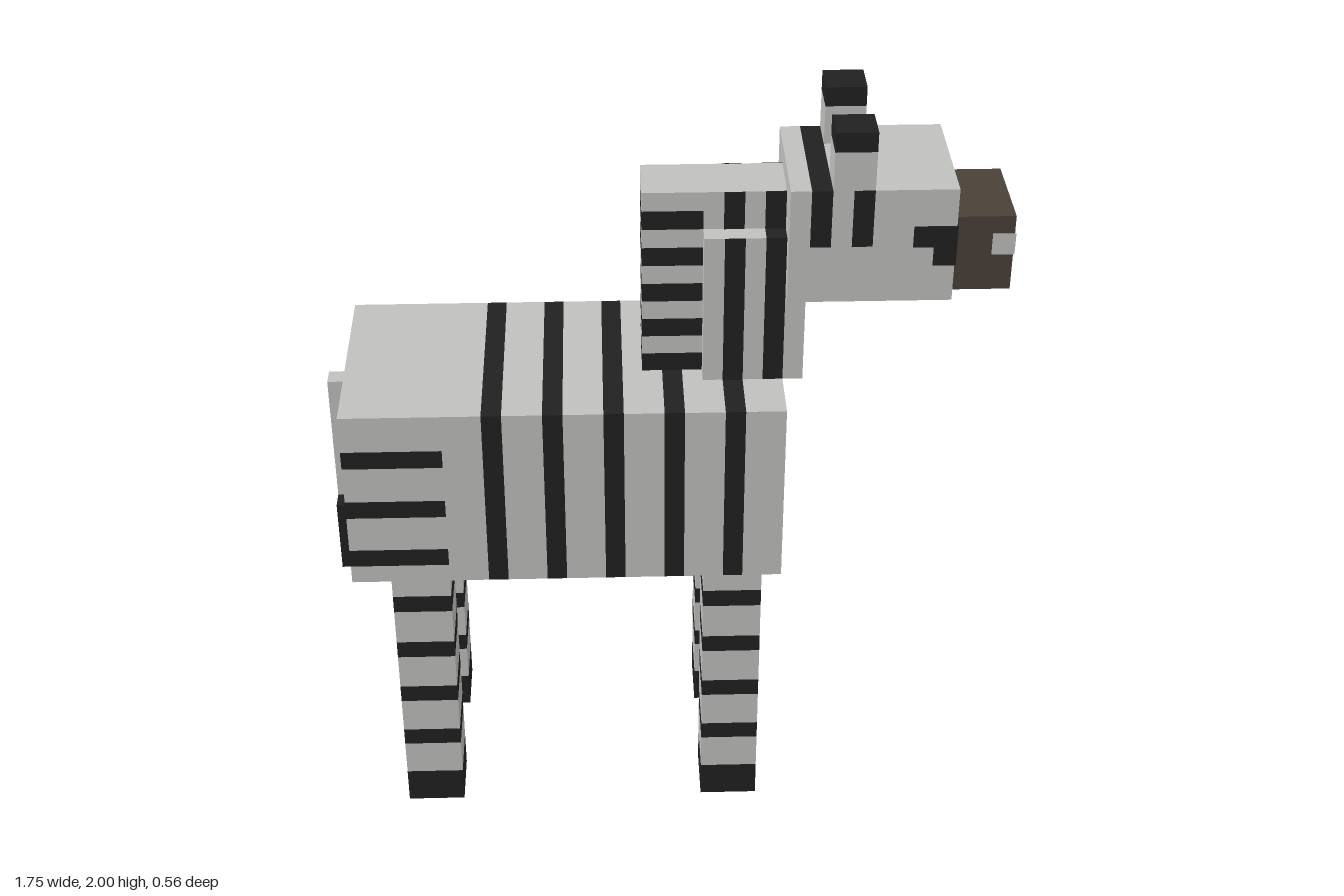
import * as THREE from 'three';

const U = 2 / 39; // one voxel

export function createModel() {
  const model = new THREE.Group();
  model.name = 'zebra';
  const mat = (name, color) => Object.assign(new THREE.MeshStandardMaterial({ color }), { name });
  const coat = mat('pale coat', 0xc0c0be);
  const dark = mat('dark stripe', 0x212121);
  const brown = mat('brown muzzle', 0x4a4138);

  // Box between two voxel corners, optionally grown a little to sit as a painted plate
  function box(parent, name, material, x0, x1, y0, y1, z0, z1, grow = 0) {
    const g = new THREE.BoxGeometry((x1 - x0) * U + grow, (y1 - y0) * U + grow, (z1 - z0) * U + grow);
    const m = new THREE.Mesh(g, material);
    m.position.set((x0 + x1) / 2 * U, (y0 + y1) / 2 * U, (z0 + z1) / 2 * U);
    m.name = name;
    parent.add(m);
    return m;
  }
  // Alternating pale and dark slabs along x or y, starting pale
  function banded(parent, name, axis, cuts, range, z0, z1, startDark = false) {
    for (let i = 0; i < cuts.length - 1; i++) {
      const isDark = (i % 2 === 1) !== startDark;
      const span = axis === 'x' ? [cuts[i], cuts[i + 1], ...range] : [...range, cuts[i], cuts[i + 1]];
      box(parent, name + (isDark ? 'Stripe' : 'Coat'), isDark ? dark : coat, ...span, z0, z1);
    }
  }
  function group(name) {
    const g = new THREE.Group();
    g.name = name;
    model.add(g);
    return g;
  }

  // Barrel with upright stripes, rump with level stripes
  const body = group('body');
  banded(body, 'barrel', 'x', [-11, -9, -8, -6, -5, -3, -2, 0, 1, 3, 4, 6], [15, 25], -5.5, 5.5);
  banded(body, 'rump', 'y', [15, 16, 17, 19, 20, 22, 23, 25], [-16, -11], -5.5, 5.5);

  // Four ringed legs with dark hooves
  for (const [end, x] of [['front', 2], ['back', -14]]) {
    for (const [side, z] of [['Left', -5.5], ['Right', 2.5]]) {
      const leg = group(end + side + 'Leg');
      banded(leg, 'leg', 'y', [0, 2, 4, 5, 7, 8, 10, 11, 13, 14, 15], [x, x + 3], z, z + 3, true);
    }
  }

  // Tail and tuft
  const tail = group('tail');
  box(tail, 'tailStem', coat, -17, -16, 17, 24, -0.5, 0.5);
  box(tail, 'tailTuft', dark, -17, -16, 13, 17, -1.5, 1.5);

  // Neck
  const neck = group('neck');
  box(neck, 'neckBack', coat, 2, 5, 25, 33, -2.5, 2.5);
  box(neck, 'neckStripe', dark, 5, 6, 25, 33, -2.5, 2.5);
  box(neck, 'throat', coat, 6, 7, 25, 30, -2.5, 2.5);

  // Mane: striped back block and crest above the neck
  const mane = group('mane');
  banded(mane, 'mane', 'y', [25, 26, 27, 28, 29, 30, 31, 32, 33, 34, 35], [-1, 2], -1.5, 1.5, true);
  box(mane, 'maneCrest', coat, 2, 6, 33, 35, -1.5, 1.5);
  for (const s of [-1, 1]) {
    const plate = (x, y0, y1, z) => box(mane, 'sideStripe', dark, x, x + 1, y0, y1, s * z - 0.04, s * z + 0.04);
    plate(3, 25, 33, 2.5);
    plate(3, 33, 35, 1.5);
    plate(5, 33, 35, 1.5);
  }

  // Head with crown stripes, eyes and ears
  const head = group('head');
  box(head, 'jaw', coat, 6, 14, 30, 33, -3.5, 3.5);
  banded(head, 'crown', 'x', [6, 7, 8, 9, 10, 14], [33, 36], -3.5, 3.5);
  for (const s of [-1, 1]) {
    const z0 = s > 0 ? 2.5 : -3.5;
    box(head, 'eye', dark, 12, 14, 33, 34, z0, z0 + 1, 0.006);
    box(head, 'eyeCorner', dark, 13, 14, 32, 33, z0, z0 + 1, 0.006);
    const e0 = s > 0 ? 1.5 : -3.5;
    box(head, 'ear', coat, 8, 10, 36, 38, e0, e0 + 2);
    box(head, 'earTip', dark, 8, 10, 38, 39, e0, e0 + 2);
  }

  // Muzzle with pale markings
  box(head, 'muzzle', brown, 14, 17, 30, 34, -2.5, 2.5);
  box(head, 'mouthMark', coat, 16, 17, 31, 32, -1.5, 1.5, 0.006);
  box(head, 'muzzleMark', coat, 16, 17, 32, 33, 1.5, 2.5, 0.006);

  return model;
}
